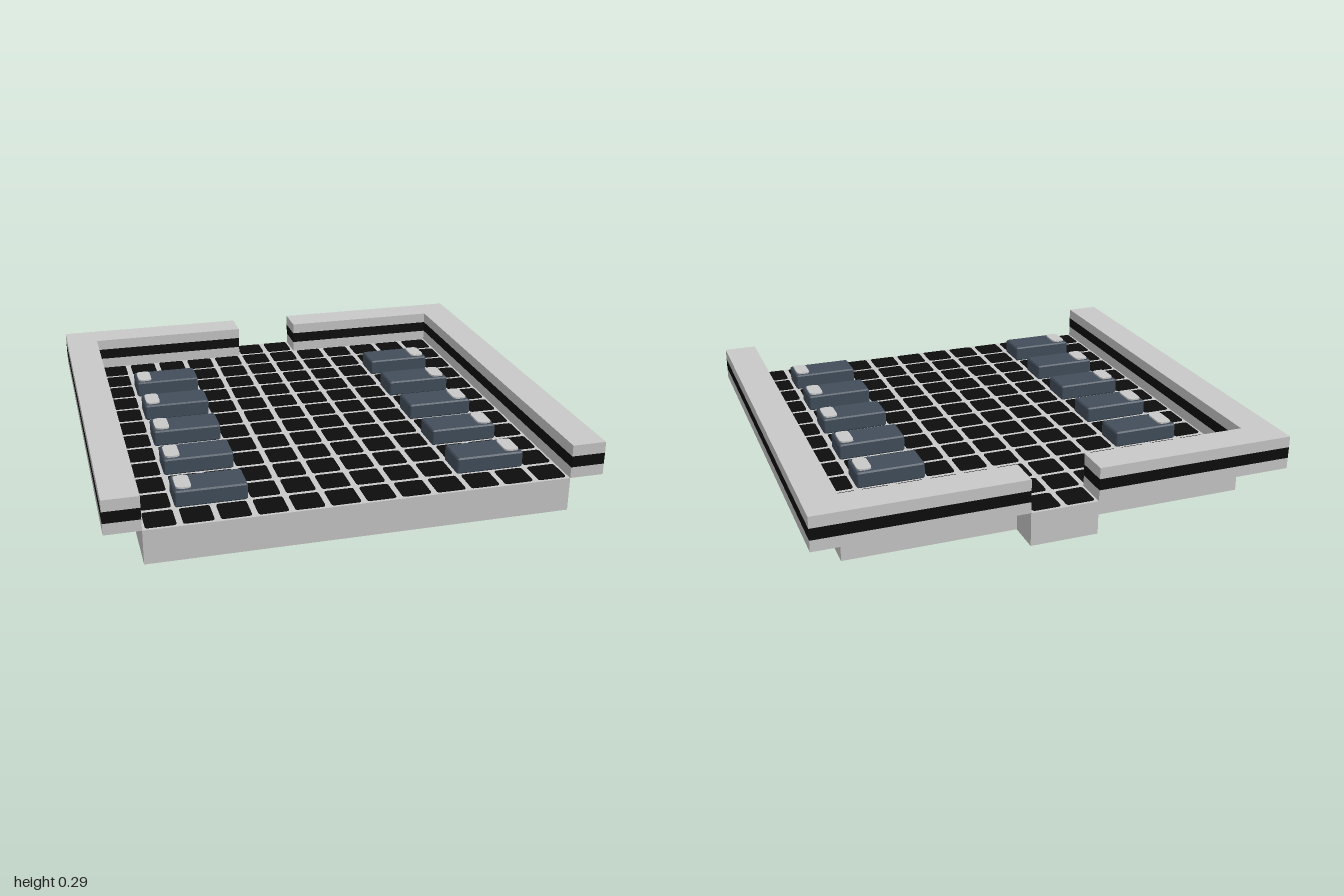
import * as THREE from 'three';

const U = 1 / 7; // one floor cell

const grey = new THREE.MeshStandardMaterial({ color: 0xc8c8c8 });
grey.name = 'light grey';
const black = new THREE.MeshStandardMaterial({ color: 0x0d0d0d });
black.name = 'black';
const blue = new THREE.MeshStandardMaterial({ color: 0x424e5b });
blue.name = 'slate blue';

// box given by its limits
function box(parent, name, mat, x0, x1, y0, y1, z0, z1) {
  const m = new THREE.Mesh(new THREE.BoxGeometry(x1 - x0, y1 - y0, z1 - z0), mat);
  m.position.set((x0 + x1) / 2, (y0 + y1) / 2, (z0 + z1) / 2);
  m.name = name;
  parent.add(m);
}

// flat slab with rounded corners and an optional bevelled top, standing on y = 0
function slab(w, d, h, r, bevel = 0) {
  const a = w / 2 - bevel, b = d / 2 - bevel;
  const s = new THREE.Shape();
  s.moveTo(-a + r, -b);
  s.lineTo(a - r, -b);
  s.quadraticCurveTo(a, -b, a, -b + r);
  s.lineTo(a, b - r);
  s.quadraticCurveTo(a, b, a - r, b);
  s.lineTo(-a + r, b);
  s.quadraticCurveTo(-a, b, -a, b - r);
  s.lineTo(-a, -b + r);
  s.quadraticCurveTo(-a, -b, -a + r, -b);
  const g = new THREE.ExtrudeGeometry(s, {
    depth: h - 2 * bevel, curveSegments: 3, bevelEnabled: bevel > 0,
    bevelSize: bevel, bevelThickness: bevel, bevelSegments: 1,
  });
  g.translate(0, 0, bevel);
  g.rotateX(-Math.PI / 2);
  return g;
}

function place(parent, name, geo, mat, x, y, z) {
  const m = new THREE.Mesh(geo, mat);
  m.position.set(x, y, z);
  m.name = name;
  parent.add(m);
}

// wall with a dark stripe running all the way round
function wall(parent, name, x0, x1, z0, z1) {
  const g = new THREE.Group();
  g.name = name;
  box(g, 'wallFoot', grey, x0, x1, U, 0.19, z0, z1);
  box(g, 'wallStripe', black, x0, x1, 0.19, 0.238, z0, z1);
  box(g, 'wallCap', grey, x0, x1, 0.238, 2 * U, z0, z1);
  parent.add(g);
}

export function createModel() {
  const model = new THREE.Group();
  model.name = 'barracksFloor';
  const back = -6.5 * U, inner = -5.5 * U, front = 6.5 * U;

  // base planks and the doorstep at the back
  for (let i = -3; i < 3; i++) {
    box(model, 'basePlank', grey, 2 * i * U, 2 * (i + 1) * U, 0, U, inner, front);
  }
  box(model, 'doorstep', grey, -U, U, 0, U, back, inner);

  // floor tiles, with two more on the doorstep
  const tiles = new THREE.Group();
  tiles.name = 'floorTiles';
  const tileGeo = slab(0.118, 0.118, 0.004, 0.012);
  for (let row = -6; row <= 6; row++) {
    const half = row === -6 ? 1 : 6;
    for (let col = -half; col < half; col++) {
      place(tiles, 'floorTile', tileGeo, black, (col + 0.5) * U, U, row * U);
    }
  }
  model.add(tiles);

  // walls and bunks, mirrored left and right
  const bedGeo = slab(2 * U, U, 0.069, 0.004, 0.006);
  const pillowGeo = slab(0.06, 0.108, 0.008, 0.02);
  for (const s of [-1, 1]) {
    const side = s > 0 ? 'left' : 'right';
    const span = (a, b) => (s > 0 ? [a * U, b * U] : [-b * U, -a * U]);
    wall(model, side + 'SideWall', ...span(6, 7), back, front);
    wall(model, side + 'BackWall', ...span(1, 6), back, inner);
    for (let row = -3; row <= 5; row += 2) {
      const bed = new THREE.Group();
      bed.name = side + 'Bed';
      place(bed, 'mattress', bedGeo, blue, s * 4 * U, U, row * U);
      place(bed, 'pillow', pillowGeo, grey, s * 0.674, U + 0.068, row * U);
      model.add(bed);
    }
  }
  return model;
}
